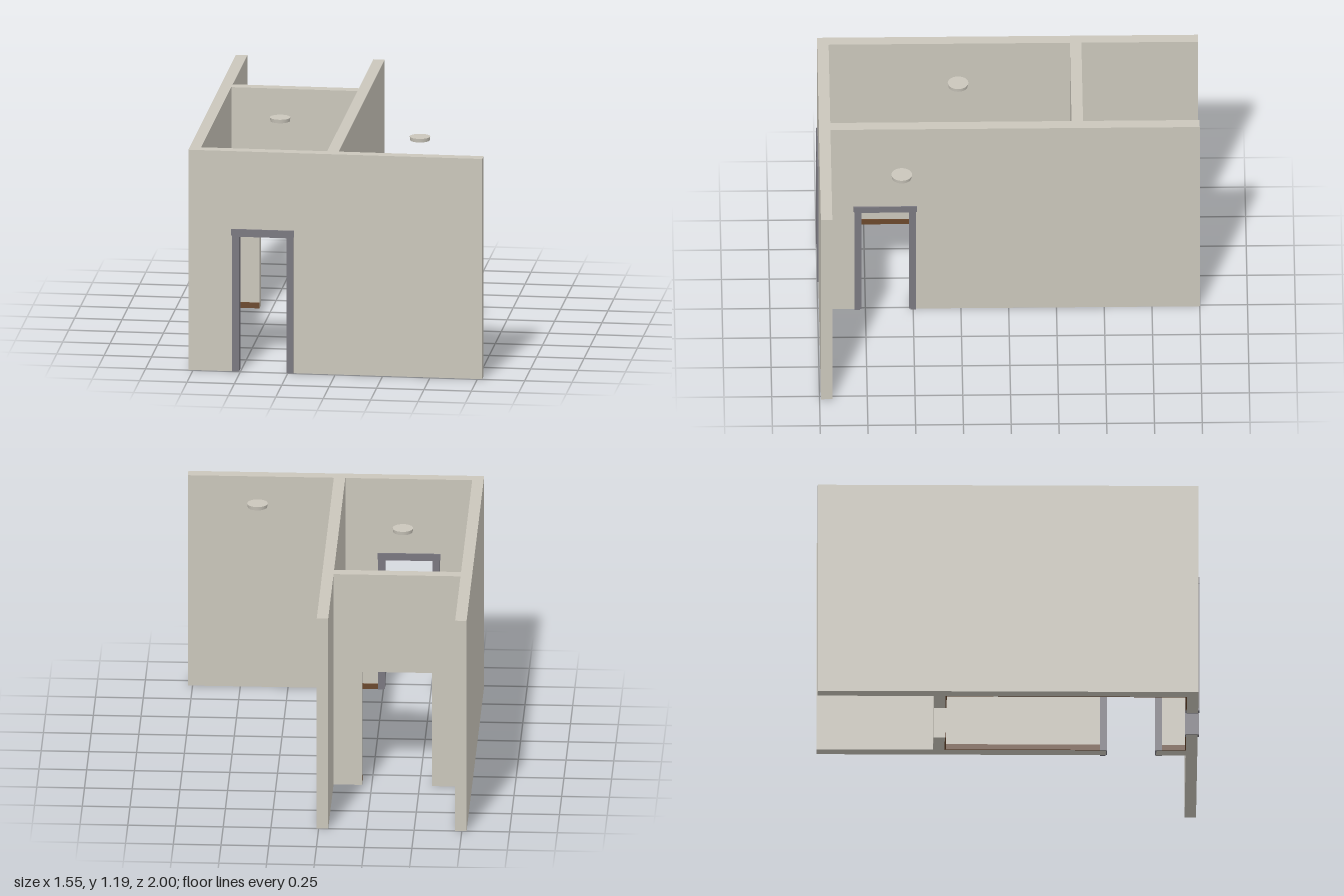
import * as THREE from 'three';

const mat = (name, color) => {
  const m = new THREE.MeshStandardMaterial({ color });
  m.name = name;
  return m;
};

const H = 1.19;      // wall height
const T = 0.06;      // wall thickness
const LIP = 0.007;   // how far the casing stands out from the wall

export function createModel() {
  const wallMat = mat('warm grey plaster', 0xcac6bb);
  const trimMat = mat('slate trim', 0x7a7880);
  const brownMat = mat('brown', 0x6b482c);
  const darkMat = mat('dark metal', 0x4a484c);
  const model = new THREE.Group();
  model.name = 'roomShell';

  function add(parent, name, geometry, material, x = 0, y = 0, z = 0) {
    const mesh = new THREE.Mesh(geometry, material);
    mesh.name = name;
    mesh.position.set(x, y, z);
    parent.add(mesh);
    return mesh;
  }

  // Box given by its limits on each axis
  const box = (parent, name, material, x0, x1, y0, y1, z0, z1) =>
    add(parent, name, new THREE.BoxGeometry(x1 - x0, y1 - y0, z1 - z0), material,
      (x0 + x1) / 2, (y0 + y1) / 2, (z0 + z1) / 2);

  // Wall from u0 to u1 with an optional doorway notch, extruded through its thickness
  function wall(parent, name, u0, u1, door) {
    const pts = [[u0, 0]];
    if (door) {
      pts.push([door.u0, 0], [door.u0, door.top], [door.u1, door.top], [door.u1, 0]);
    }
    pts.push([u1, 0], [u1, H], [u0, H]);
    const shape = new THREE.Shape(pts.map(p => new THREE.Vector2(...p)));
    const geometry = new THREE.ExtrudeGeometry(shape, { depth: T, bevelEnabled: false });
    return add(parent, name, geometry, wallMat);
  }

  // Jamb lining and casing on both faces of a doorway
  function doorFrame(parent, name, door) {
    const frame = new THREE.Group();
    frame.name = name;
    const { u0, u1, top } = door;
    const j = 0.007, w = 0.03;
    box(frame, 'jambA', trimMat, u0, u0 + j, 0, top, 0, T);
    box(frame, 'jambB', trimMat, u1 - j, u1, 0, top, 0, T);
    box(frame, 'jambHead', trimMat, u0 + j, u1 - j, top - j, top, 0, T);
    for (const [z0, z1] of [[-LIP, 0], [T, T + LIP]]) {
      box(frame, 'casingA', trimMat, u0 - w, u0, 0, top, z0, z1);
      box(frame, 'casingB', trimMat, u1, u1 + w, 0, top, z0, z1);
      box(frame, 'casingHead', trimMat, u0 - w - 0.003, u1 + w + 0.003, top, top + 0.035, z0, z1);
    }
    parent.add(frame);
  }

  // Front wall with the main doorway
  const frontDoor = { u0: -0.515, u1: -0.251, top: 0.735 };
  const front = new THREE.Group();
  front.name = 'frontWall';
  front.position.z = 0.933;
  wall(front, 'frontPanel', -0.775, 0.775, frontDoor);
  doorFrame(front, 'frontDoorFrame', frontDoor);
  model.add(front);

  // Middle wall with a side doorway, turned to run along z
  const sideDoor = { u0: 0.514, u1: 0.778, top: 0.645 };
  const middle = new THREE.Group();
  middle.name = 'middleWall';
  middle.rotation.y = -Math.PI / 2;
  middle.position.x = 0.01;
  wall(middle, 'middlePanel', -1, 0.933, sideDoor);
  doorFrame(middle, 'sideDoorFrame', sideDoor);
  model.add(middle);

  // Outer wall and the rear partition with its plain opening
  box(model, 'outerWall', wallMat, -0.775, -0.715, 0, H, -1, 0.933);
  const opening = { u0: -0.565, u1: -0.2, top: 0.64 };
  wall(model, 'rearPartition', -0.715, -0.05, opening).position.z = -0.39;

  // Skirting boards around the enclosed room
  const b = 0.006, s = 0.03;
  const skirting = new THREE.Group();
  skirting.name = 'skirting';
  for (const [x0, x1, z0, z1] of [
    [-0.715, -0.715 + b, -0.33, 0.933],
    [-0.05 - b, -0.05, -0.33, 0.484],
    [-0.05 - b, -0.05, 0.808, 0.933],
    [-0.715, -0.545, 0.933 - b, 0.933],
    [-0.221, -0.05, 0.933 - b, 0.933],
    [-0.715, opening.u0, -0.33, -0.33 + b],
    [opening.u1, -0.05, -0.33, -0.33 + b],
  ]) box(skirting, 'skirtingBoard', brownMat, x0, x1, 0, s, z0, z1);
  model.add(skirting);

  // Wall-mounted canister and its bracket
  const canister = new THREE.Group();
  canister.name = 'canister';
  add(canister, 'canisterBody', new THREE.CylinderGeometry(0.023, 0.023, 0.14, 20), brownMat,
    -0.682, 0.16, 0.015);
  box(canister, 'canisterBracket', darkMat, -0.715, -0.69, 0.15, 0.19, 0.008, 0.028);
  model.add(canister);

  // Round ceiling lights
  for (const [x, z] of [[-0.383, 0.26], [0.393, 0.565]]) {
    add(model, 'ceilingLight', new THREE.CylinderGeometry(0.054, 0.051, 0.02, 32), wallMat,
      x, 1.18, z);
  }
  return model;
}
